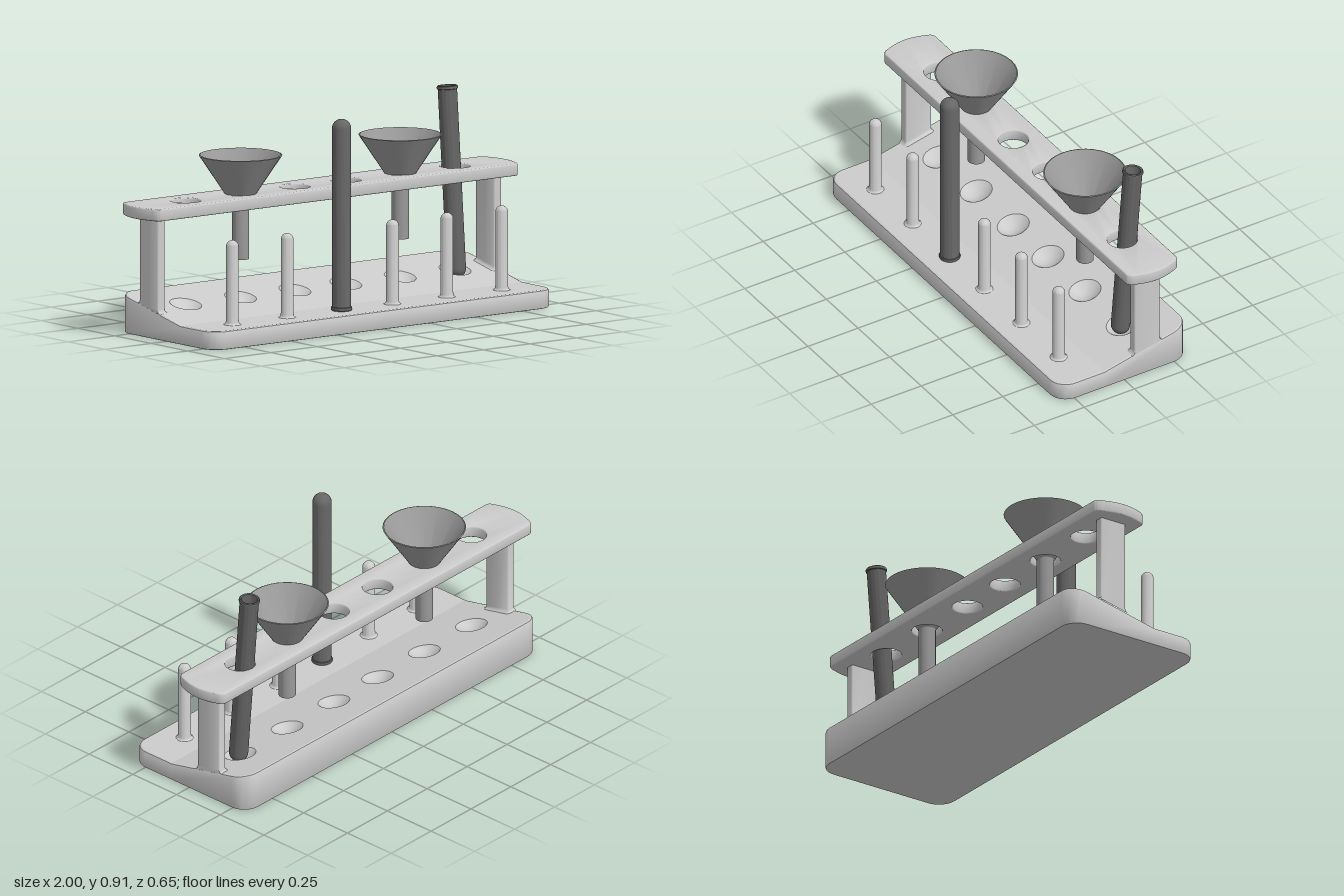
import * as THREE from 'three';
import { toCreasedNormals } from 'three/addons/utils/BufferGeometryUtils.js';

const grey = new THREE.MeshStandardMaterial({ color: 0xcccccc });
const funnelGrey = new THREE.MeshStandardMaterial({ color: 0x999999 });
const tubeGrey = new THREE.MeshStandardMaterial({ color: 0x666666 });

const slots = [-0.725, -0.43, -0.137, 0.137, 0.43, 0.725]; // x of pegs and holes
const rowZ = -0.113, pegZ = 0.205, holeR = 0.068;
const creaseZ = 0.1;
const baseTop = z => 0.08 + Math.max(0, creaseZ - z) * 0.218;
const V2 = (x, y) => new THREE.Vector2(x, y);

function mesh(name, geometry, material = grey) {
  const m = new THREE.Mesh(geometry, material);
  m.name = name;
  return m;
}

// Rounded rectangle in plan (y = -z), counter-clockwise, with a point on each side at y = split
function roundedRect(hx, hy, r, split) {
  const pts = [];
  const corner = (cx, cy, quarter) => {
    for (let i = 0; i <= 8; i++) {
      const a = (quarter + i / 8) * Math.PI / 2;
      pts.push(V2(cx + r * Math.cos(a), cy + r * Math.sin(a)));
    }
  };
  pts.push(V2(hx, split));
  corner(hx - r, hy - r, 0);
  corner(r - hx, hy - r, 1);
  pts.push(V2(-hx, split));
  corner(r - hx, r - hy, 2);
  corner(hx - r, r - hy, 3);
  return pts;
}

function circle(x, y, r, n = 32) {
  return Array.from({ length: n }, (_, i) => {
    const a = i / n * Math.PI * 2;
    return V2(x + r * Math.cos(a), y + r * Math.sin(a));
  });
}

// Skin closed rings of Vector3 from bottom to top
function loft(rings, crease = 0.5) {
  const n = rings[0].length, pos = [], index = [];
  rings.forEach(ring => ring.forEach(p => pos.push(p.x, p.y, p.z)));
  for (let i = 0; i < rings.length - 1; i++) {
    for (let j = 0; j < n; j++) {
      const a = i * n + j, b = i * n + (j + 1) % n;
      index.push(a, b, b + n, a, b + n, a + n);
    }
  }
  const g = new THREE.BufferGeometry();
  g.setAttribute('position', new THREE.Float32BufferAttribute(pos, 3));
  g.setIndex(index);
  return toCreasedNormals(g, crease);
}

function lathe(points, crease = 0.6) {
  return toCreasedNormals(new THREE.LatheGeometry(points, 32), crease);
}

// Flat cap laid on the stepped top of the base
function topCap(points, holes = []) {
  const shape = new THREE.Shape(points);
  holes.forEach(h => shape.holes.push(new THREE.Path(h)));
  const g = new THREE.ShapeGeometry(shape).rotateX(-Math.PI / 2);
  const p = g.attributes.position;
  for (let i = 0; i < p.count; i++) p.setY(i, baseTop(p.getZ(i)));
  g.computeVertexNormals();
  return g;
}

function makeBase() {
  const base = new THREE.Group();
  base.name = 'base';
  const outline = inset => roundedRect(0.925 - inset, 0.326 - inset, 0.08 - inset, -creaseZ);
  const ring = (inset, height) => outline(inset).map(p => new THREE.Vector3(p.x, height(-p.y), -p.y));
  base.add(mesh('baseSides', loft([
    ring(0.007, () => 0), ring(0.002, () => 0.002), ring(0, () => 0.007),
    ring(0, z => baseTop(z) - 0.01), ring(0.003, z => baseTop(z) - 0.003), ring(0.01, baseTop),
  ], 0.6)));
  base.add(mesh('baseUnderside',
    new THREE.ShapeGeometry(new THREE.Shape(outline(0.007))).rotateX(Math.PI / 2)));

  const top = outline(0.01);
  base.add(mesh('baseFrontTop', topCap(top.filter(p => p.y <= -creaseZ + 1e-6))));
  base.add(mesh('baseSlopedTop', topCap(top.filter(p => p.y >= -creaseZ - 1e-6),
    slots.map(x => circle(x, -rowZ, holeR)))));

  // Shallow bowls that hold the tube ends
  const bowl = [];
  for (let i = 0; i <= 8; i++) {
    const r = holeR * (1 - i / 8);
    bowl.push(V2(r, -0.032 * (1 - (r / holeR) ** 2)));
  }
  for (const x of slots) {
    const g = new THREE.LatheGeometry(bowl, 32).translate(x, 0, rowZ);
    const p = g.attributes.position;
    for (let i = 0; i < p.count; i++) p.setY(i, p.getY(i) + baseTop(p.getZ(i)));
    g.computeVertexNormals();
    base.add(mesh('bowl', g));
  }
  return base;
}

// Upright with a small fillet where it meets the slope
function makePost(side) {
  const ring = (flare, height) => roundedRect(0.02 + flare, 0.063 + flare, 0.006 + flare, 0).map(p => {
    const z = rowZ - p.y;
    const x = side * 0.905 + p.x;
    return new THREE.Vector3(THREE.MathUtils.clamp(x, -0.925, 0.925), height(z), z);
  });
  return mesh('post', loft([
    ring(0.012, z => baseTop(z) - 0.001), ring(0.005, z => baseTop(z) + 0.004),
    ring(0.001, z => baseTop(z) + 0.011), ring(0, z => baseTop(z) + 0.018), ring(0, () => 0.525),
  ], 0.7));
}

function makeShelf() {
  const s = new THREE.Shape();
  s.moveTo(-0.95, -0.126);
  s.lineTo(0.95, -0.126);
  s.quadraticCurveTo(0.973, -0.126, 0.982, -0.09);
  s.quadraticCurveTo(1.018, 0, 0.982, 0.09);
  s.quadraticCurveTo(0.973, 0.126, 0.95, 0.126);
  s.lineTo(-0.95, 0.126);
  s.quadraticCurveTo(-0.973, 0.126, -0.982, 0.09);
  s.quadraticCurveTo(-1.018, 0, -0.982, -0.09);
  s.quadraticCurveTo(-0.973, -0.126, -0.95, -0.126);
  slots.forEach(x => s.holes.push(new THREE.Path(circle(x, 0, holeR - 0.004))));
  const b = 0.006;
  const g = new THREE.ExtrudeGeometry(s, {
    depth: 0.052 - 2 * b, bevelThickness: b, bevelSize: b, bevelOffset: -b,
    bevelSegments: 3, curveSegments: 10,
  });
  g.rotateX(-Math.PI / 2).translate(0, 0.519 + b, rowZ);
  return mesh('shelf', toCreasedNormals(g, 0.6));
}

// Quarter-circle profile from the axis out to radius r, starting at the tip
function dome(r, centreY, dir) {
  return Array.from({ length: 9 }, (_, i) => {
    const a = i / 8 * Math.PI / 2;
    return V2(r * Math.sin(a), centreY + dir * r * Math.cos(a));
  });
}

function pegGeometry() {
  return lathe([
    V2(0.037, 0), V2(0.031, 0.004), V2(0.028, 0.011), V2(0.027, 0.02),
    ...dome(0.027, 0.334, 1).reverse(),
  ]);
}

// Hollow tube, round tip at y = 0 and lipped mouth at the top
function tubeGeometry() {
  return lathe([
    ...dome(0.041, 0.041, -1),
    V2(0.041, 0.803), V2(0.044, 0.805), V2(0.0455, 0.811), V2(0.044, 0.817), V2(0.04, 0.82),
    V2(0.034, 0.817), V2(0.033, 0.81),
    ...dome(0.033, 0.041, -1).reverse(),
  ]);
}

// Hollow cone and open stem
function funnelGeometry() {
  return lathe([
    V2(0.03, 0.29), V2(0.037, 0.29), V2(0.037, 0.524), V2(0.177, 0.735),
    V2(0.172, 0.737), V2(0.03, 0.53), V2(0.03, 0.29),
  ], 0.4);
}

export function createModel() {
  const model = new THREE.Group();
  model.name = 'tubeRack';
  model.add(makeBase(), makePost(-1), makePost(1), makeShelf());

  const pegs = pegGeometry();
  for (const x of slots) {
    const peg = mesh('dryingPeg', pegs);
    peg.position.set(x, 0.08, pegZ);
    model.add(peg);
  }

  const funnels = funnelGeometry();
  for (const x of [slots[1], slots[4]]) {
    const funnel = mesh('funnel', funnels, funnelGrey);
    funnel.position.set(x, 0, rowZ);
    model.add(funnel);
  }

  // One tube upside down on a peg, one leaning in the rack
  const tubes = tubeGeometry();
  const drying = mesh('dryingTube', tubes, tubeGrey);
  drying.position.set(slots[2], 0.9, pegZ);
  drying.rotation.x = Math.PI;
  const leaning = mesh('leaningTube', tubes, tubeGrey);
  leaning.position.set(slots[5], 0.091, -0.101);
  leaning.rotation.x = -0.08;
  model.add(drying, leaning);
  return model;
}
